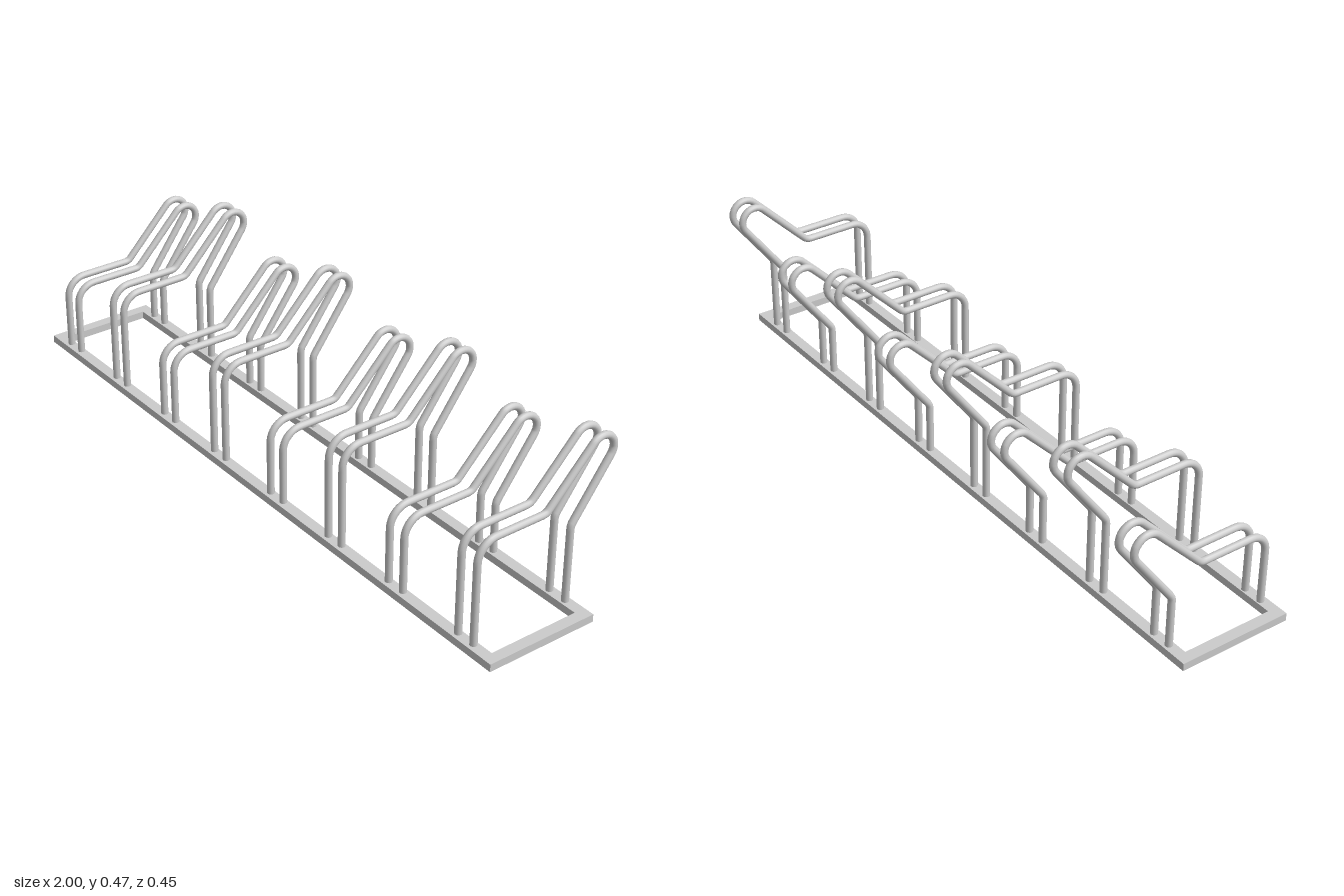
import * as THREE from 'three';

const TUBE_R = 0.0102;
const BAR = 0.032, BAR_H = 0.022;
const Z_FRONT = 0.225, Z_BACK = -0.105;

const material = new THREE.MeshStandardMaterial({ color: 0xcccccc });

// Point in the hoop's plane
const P = (z, y) => new THREE.Vector3(0, y, z);

// Bent tube outline: front post, shelf, sloping neck, round head, back post
function hoopPath(drop) {
  const loop = P(-0.173, 0.425 - drop), r = 0.04;
  const pts = [];
  const corner = (a, b, c) => pts.push(...new THREE.QuadraticBezierCurve3(a, b, c).getPoints(5));
  const arc = (cz, cy, rad, from, to, n) => {
    for (let i = 0; i <= n; i++) {
      const t = THREE.MathUtils.degToRad(from + (to - from) * i / n);
      pts.push(P(cz + rad * Math.cos(t), cy + rad * Math.sin(t)));
    }
  };
  const shelf = 0.31 - drop, knee = 0.243 - drop;
  pts.push(P(0.206, 0.012));
  arc(0.151, shelf - 0.055, 0.055, 0, 90, 10);
  corner(P(0.007, shelf), P(-0.004, shelf), P(-0.012, shelf + 0.008));
  arc(loop.z, loop.y, r, 45, 217, 18);
  corner(P(-0.0945, knee + 0.008), P(-0.0885, knee), P(-0.0885, knee - 0.01));
  pts.push(P(-0.0885, 0.012));

  const path = new THREE.CurvePath();
  for (let i = 1; i < pts.length; i++) path.add(new THREE.LineCurve3(pts[i - 1], pts[i]));
  return path;
}

// Rectangular ground frame
function baseFrame() {
  const rect = (target, x, z0, z1) => target
    .moveTo(-x, z0).lineTo(x, z0).lineTo(x, z1).lineTo(-x, z1).closePath();
  const shape = new THREE.Shape();
  rect(shape, 1, -Z_FRONT, -Z_BACK);
  const hole = new THREE.Path();
  rect(hole, 1 - BAR, -Z_FRONT + BAR, -Z_BACK - BAR);
  shape.holes.push(hole);
  const geometry = new THREE.ExtrudeGeometry(shape, { depth: BAR_H, bevelEnabled: false });
  geometry.rotateX(-Math.PI / 2);
  const mesh = new THREE.Mesh(geometry, material);
  mesh.name = 'baseFrame';
  return mesh;
}

export function createModel() {
  const group = new THREE.Group();
  group.name = 'bicycleRack';
  group.add(baseFrame());

  const hoop = drop => new THREE.TubeGeometry(hoopPath(drop), 130, TUBE_R, 12, false);
  const low = hoop(0.075), high = hoop(0);

  // Alternating low and high wheel holders, each a pair of hoops
  const centres = [-0.897, -0.643, -0.39, -0.141, 0.123, 0.375, 0.623, 0.889];
  centres.forEach((x, i) => {
    const holder = new THREE.Group();
    holder.name = i % 2 ? 'highWheelHolder' : 'lowWheelHolder';
    holder.position.x = x;
    for (const side of [-1, 1]) {
      const mesh = new THREE.Mesh(i % 2 ? high : low, material);
      mesh.name = side < 0 ? 'rightHoop' : 'leftHoop';
      mesh.position.x = side * 0.028;
      holder.add(mesh);
    }
    group.add(holder);
  });
  return group;
}
